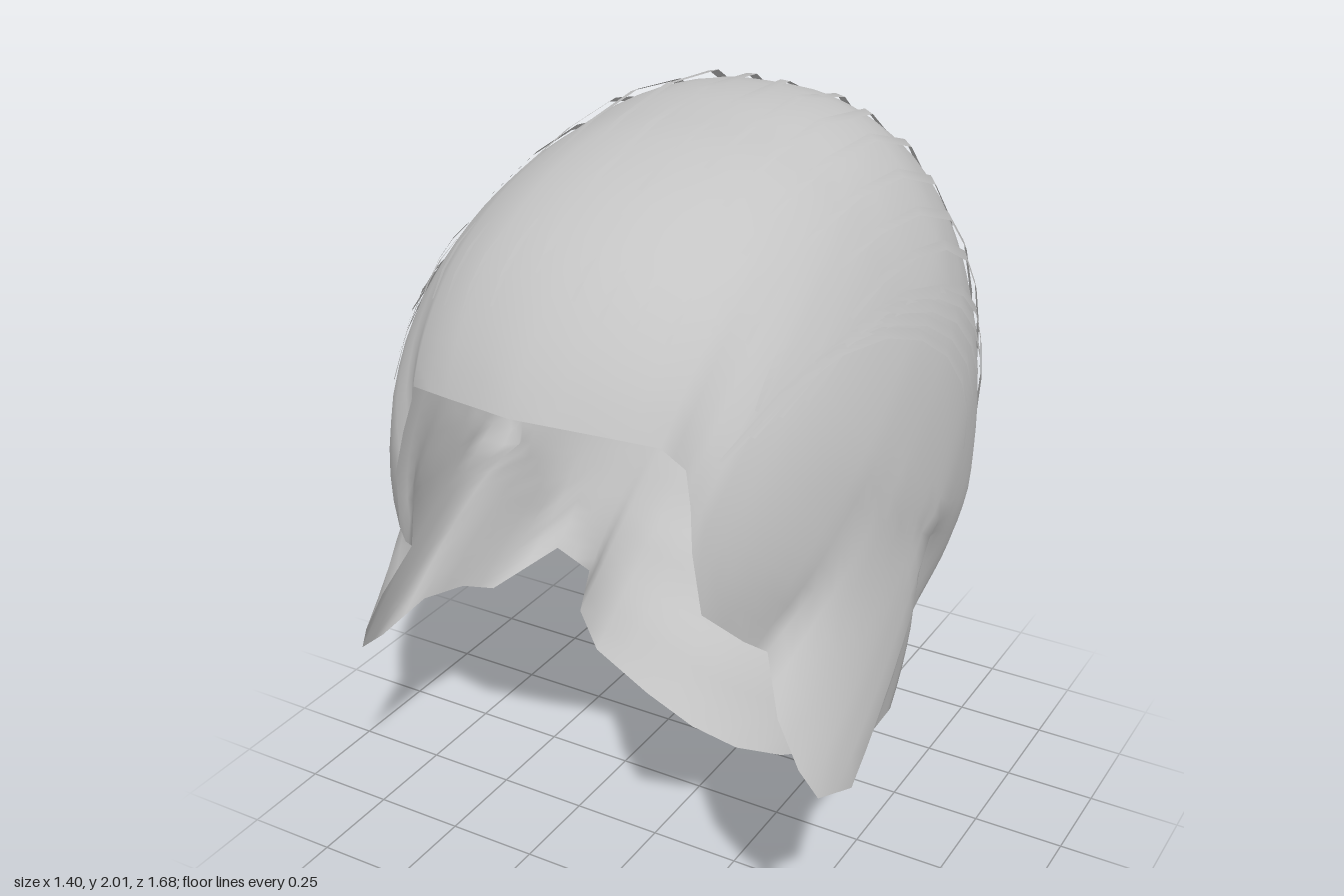
import * as THREE from 'three';

const CENTRE = new THREE.Vector3(0, 1, 0);
const POLE = new THREE.Vector3(0, 0.6, -0.8);

// Midline profile from forehead over the crown to the nape: z, y, half width
const MIDLINE = [
  [0.84, 1.51, 0.65], [0.76, 1.63, 0.66], [0.62, 1.77, 0.665], [0.24, 1.945, 0.665], [0, 1.98, 0.665],
  [-0.37, 1.975, 0.665], [-0.55, 1.87, 0.665], [-0.7, 1.66, 0.665], [-0.79, 1.42, 0.66],
  [-0.825, 1.1, 0.655], [-0.81, 0.87, 0.65], [-0.68, 0.6, 0.63], [-0.53, 0.4, 0.61],
  [-0.35, 0.18, 0.59], [-0.22, 0, 0.6], [0.75, 0.15, 0.66], [0.85, 1, 0.655],
];

// Hairline on the left side, from forehead tip to nape tip: x, y, z
const HAIRLINE = [
  [0, 1.51, 0.84], [0.2, 1.5, 0.8], [0.33, 1.48, 0.75], [0.37, 1.42, 0.71], [0.39, 1.34, 0.725],
  [0.405, 1.24, 0.745], [0.42, 1.08, 0.73], [0.48, 0.98, 0.64], [0.51, 0.93, 0.58],
  [0.57, 0.8, 0.64], [0.63, 0.68, 0.645], [0.67, 0.6, 0.62], [0.7, 0.565, 0.5], [0.67, 0.61, 0.35],
  [0.65, 0.58, 0.2], [0.62, 0.53, 0.1], [0.53, 0.59, -0.1], [0.465, 0.5, -0.165],
  [0.485, 0.37, -0.14], [0.45, 0.23, -0.17], [0.3, 0.1, -0.21], [0.15, 0.025, -0.22], [0, 0, -0.22],
];

const turn = (a) => (a + Math.PI * 2) % (Math.PI * 2);
const POLAR = MIDLINE.map(([z, y, w]) => ({ a: turn(Math.atan2(y - 1, z)), r: Math.hypot(z, y - 1), w }))
  .sort((p, q) => p.a - q.a);
POLAR.push({ ...POLAR[0], a: POLAR[0].a + Math.PI * 2 });

// Radius of the rounded head form along a unit direction
function headRadius(d) {
  const a = turn(Math.atan2(d.y, d.z));
  let i = 0;
  while (i < POLAR.length - 2 && POLAR[i + 1].a < a) i++;
  const p = POLAR[i], q = POLAR[i + 1];
  const f = (a - p.a) / (q.a - p.a);
  const r = THREE.MathUtils.lerp(p.r, q.r, f), w = THREE.MathUtils.lerp(p.w, q.w, f);
  const e = 2.45;
  return Math.pow(Math.pow(Math.abs(d.x) / w, e) + Math.pow(Math.hypot(d.y, d.z) / r, e), -1 / e);
}

// Hairline as a closed loop, each side divided in two steps per point
function hairlineLoop() {
  const left = HAIRLINE.map((p) => new THREE.Vector3(...p));
  const right = left.slice(1, -1).reverse().map((p) => new THREE.Vector3(-p.x, p.y, p.z));
  const loop = [...left, ...right];
  return loop.flatMap((p, i) => [p, p.clone().lerp(loop[(i + 1) % loop.length], 0.5)]);
}

// Shell swept from the back of the crown out to the hairline
function shellGeometry(rings = 30) {
  const loop = hairlineLoop(), n = loop.length;
  const top = CENTRE.clone().addScaledVector(POLE, headRadius(POLE));
  const pos = [top.x, top.y, top.z], index = [];
  for (let i = 1; i <= rings; i++) {
    const t = i / rings;
    for (const edge of loop) {
      const end = edge.clone().sub(CENTRE), reach = end.length();
      end.divideScalar(reach);
      const angle = POLE.angleTo(end);
      const d = POLE.clone().multiplyScalar(Math.sin((1 - t) * angle))
        .addScaledVector(end, Math.sin(t * angle)).normalize();
      // The form eases into the exact hairline near the rim
      const r = headRadius(d) + (reach - headRadius(end)) * Math.pow(t, 8);
      const p = CENTRE.clone().addScaledVector(d, r);
      pos.push(p.x, p.y, p.z);
    }
  }
  for (let j = 0; j < n; j++) {
    const k = (j + 1) % n;
    index.push(0, 1 + j, 1 + k);
    for (let i = 0; i < rings - 1; i++) {
      const a = 1 + i * n + j, d = 1 + i * n + k;
      index.push(a, a + n, d + n, a, d + n, d);
    }
  }
  return finish(pos, index);
}

function finish(pos, index) {
  const g = new THREE.BufferGeometry();
  g.setAttribute('position', new THREE.Float32BufferAttribute(pos, 3));
  g.setIndex(index);
  g.computeVertexNormals();
  return g;
}

// Narrow ribbon just above the shell: sideways angles l0 to l1, front-to-back angles a0 to a1
function strandGeometry([l0, l1], [a0, a1], width, lift) {
  const steps = Math.max(3, Math.ceil((a1 - a0) / 0.25));
  const pos = [], index = [];
  for (let i = 0; i <= steps; i++) {
    const t = i / steps, a = a0 + (a1 - a0) * t;
    const middle = THREE.MathUtils.lerp(l0, l1, t) * (1 - 0.4 * THREE.MathUtils.smoothstep(a, 2.6, 4.3));
    for (const s of [-1, 1]) {
      const l = middle + s * width * 0.25 * (1 + Math.sin(Math.PI * t));
      const d = new THREE.Vector3(Math.sin(l), Math.cos(l) * Math.sin(a), Math.cos(l) * Math.cos(a));
      const rise = lift * Math.min(1, 4 * t + 0.3, 4 * (1 - t) + 0.3);
      const p = CENTRE.clone().addScaledVector(d, headRadius(d) + rise);
      pos.push(p.x, p.y, p.z);
    }
    if (i < steps) {
      const k = i * 2;
      index.push(k, k + 1, k + 3, k, k + 3, k + 2);
    }
  }
  return finish(pos, index);
}

export function createModel() {
  const model = new THREE.Group();
  model.name = 'hair';
  const hair = new THREE.MeshStandardMaterial({ color: 0xc4c4c4, side: THREE.DoubleSide });
  hair.name = 'hairGrey';

  const add = (name, geometry, parent) => {
    const mesh = new THREE.Mesh(geometry, hair);
    mesh.name = name;
    parent.add(mesh);
  };
  add('hairShell', shellGeometry(), model);

  let seed = 7;
  const random = () => (seed = (seed * 16807) % 2147483647) / 2147483647;

  const strands = new THREE.Group();
  strands.name = 'strands';
  model.add(strands);
  for (const s of [-1, 1]) {
    // Long strands over the crown to the nape
    for (let i = 0; i < 8; i++) {
      const l = s * (0.06 + i * 0.1);
      const start = 0.95 + random() * 0.4, end = 3.8 + random() * 0.42;
      const drift = s * (random() - 0.3) * 0.12;
      add('longStrand', strandGeometry([l, l + drift], [start, end], 0.03, 0.01 + random() * 0.012), strands);
    }
    // Strands sweeping back and down across the temples
    for (let i = 0; i < 4; i++) {
      const sweep = [s * (0.5 + i * 0.05), s * (1.2 - i * 0.1)];
      add('templeStrand', strandGeometry(sweep, [0.58 + i * 0.09, 2.5 + i * 0.06], 0.036, 0.014), strands);
    }
    // Wisps above the forehead
    for (let i = 0; i < 8; i++) {
      const l = s * (0.06 + i * 0.08), start = 0.72 + random() * 0.2;
      add('foreheadWisp', strandGeometry([l, l], [start, start + 0.25], 0.018, 0.01), strands);
    }
    // Wisps at the nape
    for (let i = 0; i < 4; i++) {
      const l = s * (0.2 + i * 0.04);
      add('napeWisp', strandGeometry([l, l], [3.9, 4.2 + random() * 0.12], 0.018, 0.014), strands);
    }
  }
  return model;
}
